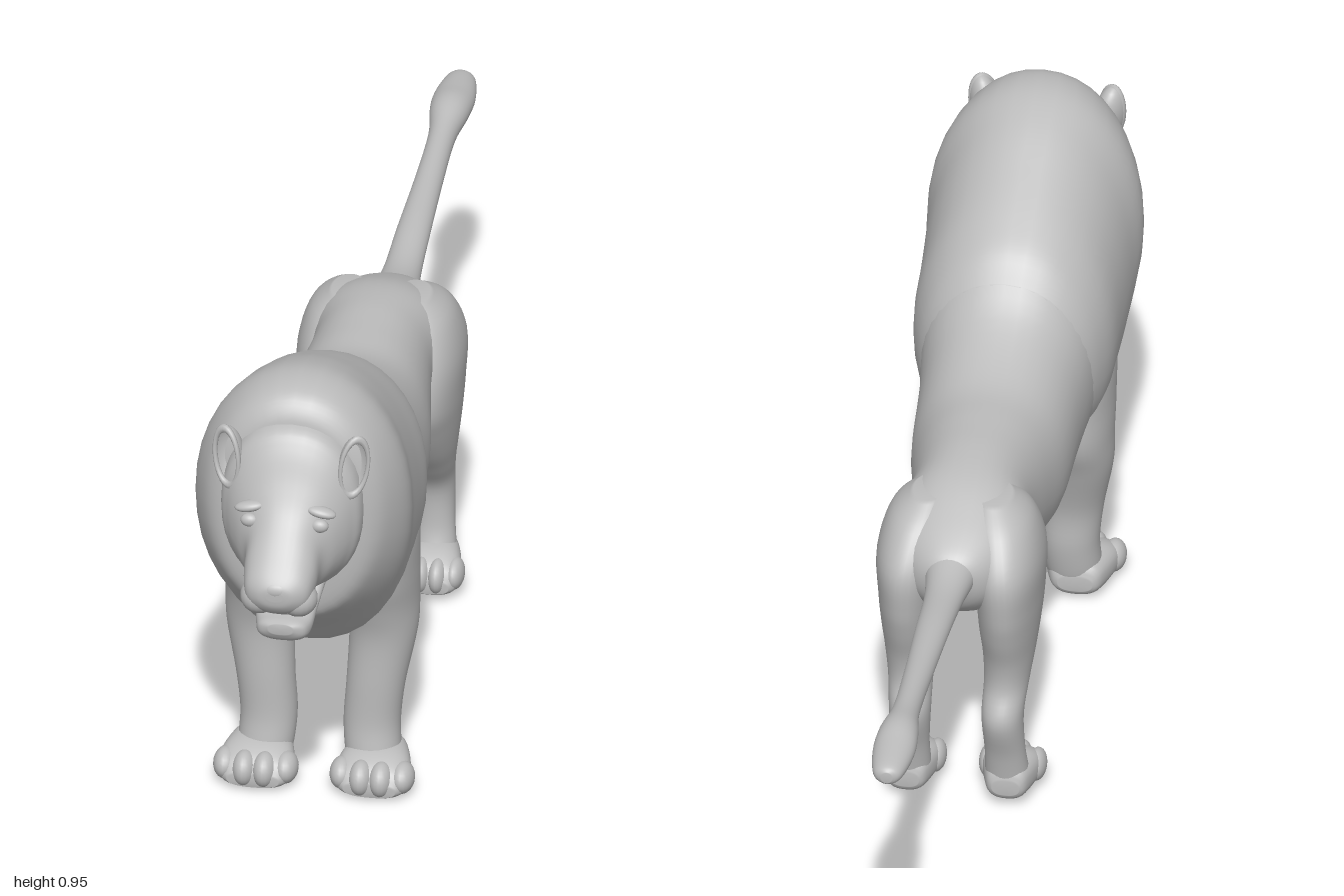
import * as THREE from 'three';

const stone = new THREE.MeshStandardMaterial({ color: 0xbcbcbc, side: THREE.DoubleSide });
stone.name = 'stone grey';

// Smooth interpolation between control rows
function spline(rows, t) {
  const n = rows.length - 1;
  const i = Math.min(Math.floor(t), n - 1), f = t - i;
  const p = k => rows[Math.max(0, Math.min(n, k))];
  return rows[i].map((b, c) => {
    const a = p(i - 1)[c], d = p(i + 1)[c], e = p(i + 2)[c];
    const m0 = (d - a) / 2, m1 = (e - b) / 2;
    return b + m0 * f + (3 * (d - b) - 2 * m0 - m1) * f * f + (2 * (b - d) + m0 + m1) * f * f * f;
  });
}

// Loft of rounded sections along z or y.
// Row: [position, centre x, half width, low, high], positions ascending.
function loft(name, axis, rows, power = 2, side = 1) {
  const around = 36, steps = (rows.length - 1) * 5, pos = [], index = [];
  const put = (x, v, t) => (axis === 'z' ? pos.push(x, v, t) : pos.push(x, t, v));
  const bend = c => Math.sign(c) * Math.pow(Math.abs(c), 2 / power);
  const flip = axis === 'z' ? 1 : -1;
  for (let i = 0; i <= steps; i++) {
    const [t, cx, r, lo, hi] = spline(rows, i / 5);
    for (let j = 0; j < around; j++) {
      const a = (j / around) * Math.PI * 2;
      put(side * cx + r * bend(Math.cos(a)), (lo + hi) / 2 + flip * (hi - lo) / 2 * bend(Math.sin(a)), t);
    }
  }
  for (const row of [rows[0], rows[rows.length - 1]]) put(side * row[1], (row[3] + row[4]) / 2, row[0]);
  const first = (steps + 1) * around;
  for (let j = 0; j < around; j++) {
    const k = (j + 1) % around;
    for (let i = 0; i < steps; i++) {
      const a = i * around, b = a + around;
      index.push(a + j, a + k, b + k, a + j, b + k, b + j);
    }
    index.push(first, k, j, first + 1, steps * around + j, steps * around + k);
  }
  const g = new THREE.BufferGeometry();
  g.setAttribute('position', new THREE.Float32BufferAttribute(pos, 3));
  g.setIndex(index);
  g.computeVertexNormals();
  const mesh = new THREE.Mesh(g, stone);
  mesh.name = name;
  return mesh;
}

function ball(name, x, y, z, rx, ry, rz) {
  const mesh = new THREE.Mesh(new THREE.SphereGeometry(1, 20, 14), stone);
  mesh.name = name;
  mesh.position.set(x, y, z);
  mesh.scale.set(rx, ry, rz);
  return mesh;
}

// Flat-soled paw with four toes; z is the toe tip
function paw(name, x, z, width, length, low) {
  const g = new THREE.Group();
  g.name = name;
  g.add(loft('pawPad', 'z', [
    [z - length, x, width * 0.4, low + 0.02, low + 0.05],
    [z - length * 0.9, x, width * 0.62, low + 0.006, low + 0.075],
    [z - length * 0.5, x, width * 0.85, low, low + 0.078],
    [z - length * 0.2, x, width * 0.85, low, low + 0.06],
    [z - 0.012, x, width * 0.6, low + 0.008, low + 0.035]], 2.5));
  for (let i = 0; i < 4; i++) {
    const u = (i - 1.5) / 1.5, r = width * 0.29;
    const back = 0.034 + 0.016 * u * u;
    g.add(ball('toe', x + u * (width - r), low + 0.035, z - back, r, 0.034 - 0.005 * u * u, 0.035));
  }
  return g;
}

// Cupped ear with a rounded rim, opening forward
function ear(s) {
  const g = new THREE.Group();
  g.name = s > 0 ? 'leftEar' : 'rightEar';
  const cup = new THREE.Mesh(new THREE.SphereGeometry(1, 20, 14, 0, Math.PI), stone);
  cup.name = 'earCup';
  cup.rotation.y = Math.PI;
  const rim = new THREE.Mesh(new THREE.TorusGeometry(0.92, 0.14, 8, 28), stone);
  rim.name = 'earRim';
  g.add(cup, rim);
  g.position.set(s * 0.117, 0.833, 0.83);
  g.scale.set(0.028, 0.06, 0.04);
  g.rotation.set(-0.1, s * 0.45, -s * 0.12);
  return g;
}

export function createModel() {
  const lion = new THREE.Group();
  lion.name = 'lion';

  // Trunk from rump to chest
  lion.add(loft('body', 'z', [
    [-0.295, 0, 0.03, 0.505, 0.56], [-0.27, 0, 0.07, 0.46, 0.585], [-0.21, 0, 0.115, 0.42, 0.618],
    [-0.13, 0, 0.125, 0.41, 0.65], [-0.04, 0, 0.112, 0.405, 0.662], [0.06, 0, 0.125, 0.355, 0.663],
    [0.165, 0, 0.143, 0.323, 0.668], [0.29, 0, 0.15, 0.325, 0.718], [0.38, 0, 0.16, 0.325, 0.79],
    [0.48, 0, 0.17, 0.318, 0.85], [0.6, 0, 0.15, 0.335, 0.88]], 2.15));

  // Full mane over neck and shoulders
  lion.add(loft('mane', 'z', [
    [0.34, 0, 0.145, 0.4, 0.755], [0.38, 0, 0.167, 0.36, 0.802], [0.44, 0, 0.184, 0.335, 0.84],
    [0.53, 0, 0.187, 0.322, 0.888], [0.62, 0, 0.191, 0.338, 0.932], [0.7, 0, 0.197, 0.41, 0.955],
    [0.77, 0, 0.172, 0.465, 0.948], [0.803, 0, 0.142, 0.5, 0.915], [0.812, 0, 0.1, 0.56, 0.87]], 2.1));

  // Skull and muzzle
  lion.add(loft('head', 'z', [
    [0.74, 0, 0.13, 0.55, 0.91], [0.815, 0, 0.13, 0.565, 0.897], [0.845, 0, 0.115, 0.575, 0.868],
    [0.875, 0, 0.093, 0.585, 0.812], [0.905, 0, 0.071, 0.588, 0.765], [0.945, 0, 0.066, 0.588, 0.722],
    [0.978, 0, 0.057, 0.6, 0.688], [0.995, 0, 0.035, 0.62, 0.667], [0.999, 0, 0.015, 0.637, 0.655]], 2.2));
  lion.add(ball('nose', 0, 0.655, 0.984, 0.032, 0.018, 0.016));

  // Open lower jaw and tongue
  lion.add(loft('jaw', 'z', [
    [0.79, 0, 0.07, 0.575, 0.64], [0.84, 0, 0.064, 0.562, 0.612], [0.87, 0, 0.056, 0.53, 0.582],
    [0.9, 0, 0.051, 0.506, 0.562], [0.925, 0, 0.043, 0.514, 0.557], [0.938, 0, 0.022, 0.532, 0.553]], 2.5));
  lion.add(ball('tongue', 0, 0.568, 0.885, 0.035, 0.013, 0.035));

  // Tail with a swollen tuft
  lion.add(loft('tail', 'z', [
    [-1, 0, 0.01, 0.56, 0.582], [-0.985, 0, 0.027, 0.552, 0.592], [-0.92, 0, 0.038, 0.546, 0.602],
    [-0.86, 0, 0.036, 0.545, 0.609], [-0.78, 0, 0.025, 0.545, 0.597], [-0.64, 0, 0.026, 0.536, 0.585],
    [-0.48, 0, 0.031, 0.525, 0.575], [-0.36, 0, 0.035, 0.507, 0.565], [-0.28, 0, 0.045, 0.495, 0.575],
    [-0.2, 0, 0.06, 0.5, 0.6]]));

  for (const s of [1, -1]) {
    const hand = s > 0 ? 'left' : 'right';
    lion.add(ear(s));
    lion.add(ball(hand + 'Cheek', s * 0.036, 0.622, 0.952, 0.035, 0.034, 0.036));
    lion.add(ball(hand + 'Eye', s * 0.064, 0.742, 0.893, 0.017, 0.013, 0.012));
    const brow = ball(hand + 'Brow', s * 0.066, 0.766, 0.884, 0.028, 0.01, 0.015);
    brow.rotation.z = -s * 0.2;
    lion.add(brow);

    lion.add(loft(hand + 'FrontLeg', 'y', [
      [0.03, 0.1, 0.045, 0.478, 0.56], [0.06, 0.098, 0.051, 0.468, 0.565], [0.12, 0.095, 0.052, 0.458, 0.556],
      [0.2, 0.102, 0.054, 0.453, 0.556], [0.3, 0.113, 0.062, 0.42, 0.558], [0.37, 0.112, 0.065, 0.392, 0.575],
      [0.44, 0.11, 0.068, 0.385, 0.6], [0.54, 0.106, 0.07, 0.385, 0.62], [0.64, 0.095, 0.06, 0.42, 0.6]], 2.1, s));
    lion.add(paw(hand + 'FrontPaw', s * 0.107, 0.628, 0.078, 0.158, 0.002));

    lion.add(loft(hand + 'HindLeg', 'y', [
      [0.03, 0.09, 0.036, -0.215, -0.15], [0.06, 0.09, 0.04, -0.22, -0.148], [0.12, 0.088, 0.037, -0.233, -0.165],
      [0.2, 0.085, 0.038, -0.257, -0.16], [0.26, 0.088, 0.041, -0.236, -0.12], [0.315, 0.09, 0.047, -0.24, -0.077],
      [0.38, 0.09, 0.055, -0.262, -0.035], [0.44, 0.09, 0.06, -0.277, -0.008], [0.52, 0.087, 0.065, -0.28, -0.015],
      [0.59, 0.075, 0.056, -0.235, -0.05], [0.63, 0.06, 0.03, -0.18, -0.09]], 2.1, s));
    lion.add(paw(hand + 'HindPaw', s * 0.092, -0.083, 0.062, 0.14, 0.012));
  }
  return lion;
}
